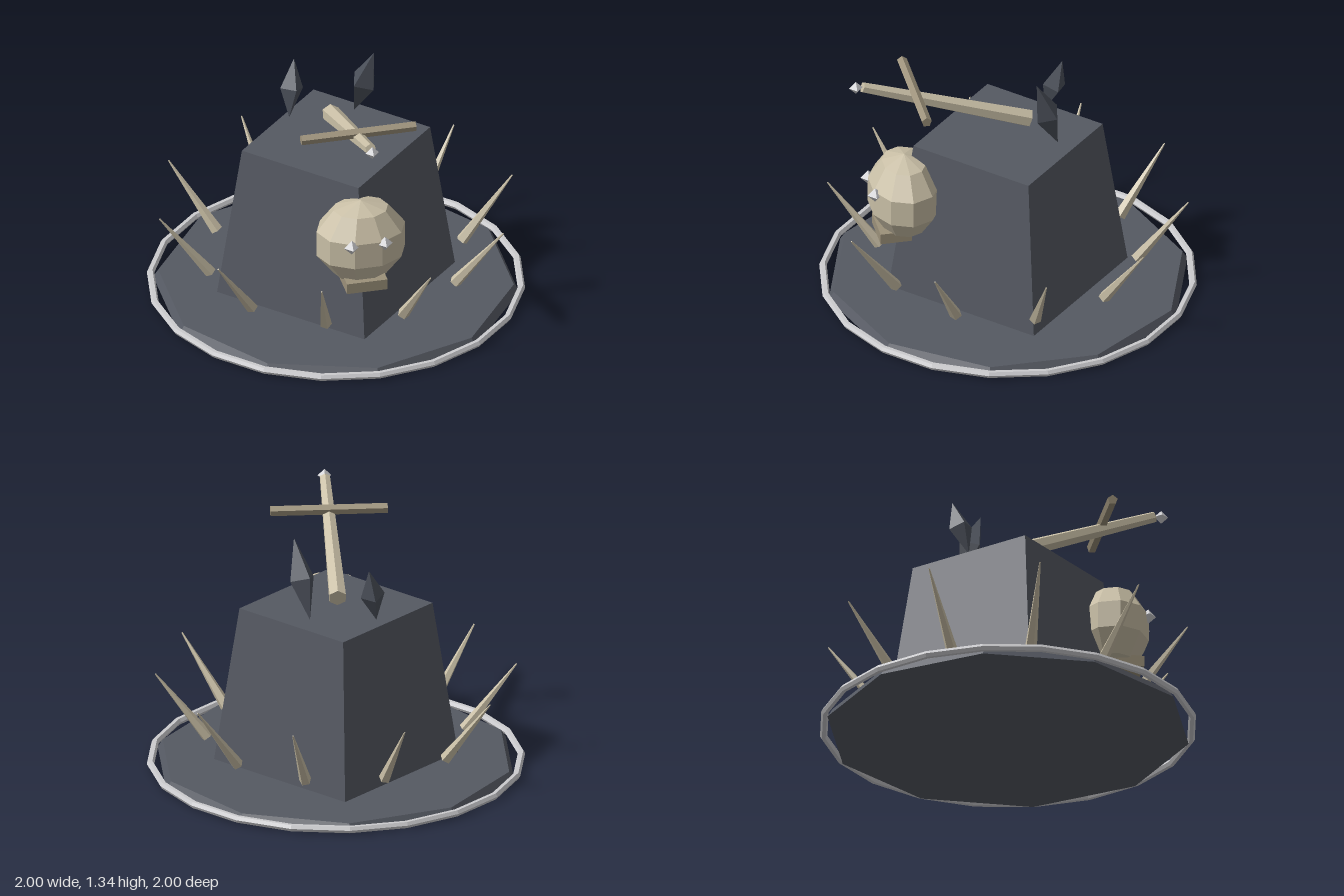
import * as THREE from 'three';

const mat = (name, color) => {
  const m = new THREE.MeshStandardMaterial({ color, flatShading: true });
  m.name = name;
  return m;
};

export function createModel() {
  const stone = mat('dark stone', 0x555962);
  const crystal = mat('dark crystal', 0x4c515b);
  const bone = mat('bone', 0xc9bfa6);
  const oldBone = mat('old bone', 0x9c917a);
  const silver = mat('silver', 0xcbcbce);

  const group = new THREE.Group();
  const up = new THREE.Vector3(0, 1, 0);
  const add = (name, geometry, material, x = 0, y = 0, z = 0, parent = group) => {
    const mesh = new THREE.Mesh(geometry, material);
    mesh.name = name;
    mesh.position.set(x, y, z);
    parent.add(mesh);
    return mesh;
  };
  // Lays a mesh whose own axis is y along the line from a to b
  const span = (mesh, a, b, turn = 0) => {
    const from = new THREE.Vector3(...a), to = new THREE.Vector3(...b);
    mesh.position.copy(from).lerp(to, 0.5);
    mesh.quaternion.setFromUnitVectors(up, to.sub(from).normalize());
    mesh.rotateY(turn);
    return mesh;
  };

  // Brim, its metal rim and the four-sided crown
  add('brim', new THREE.CylinderGeometry(0.94, 0.967, 0.045, 10), stone, 0, 0.0225, 0);
  const rim = add('rim', new THREE.TorusGeometry(0.98, 0.02, 6, 20), silver, 0, 0.027, 0);
  rim.rotation.x = Math.PI / 2;
  add('crown', new THREE.CylinderGeometry(0.51, 0.645, 0.86, 4), stone, 0, 0.47, 0);

  // Ring of spikes leaning outward
  const spikes = new THREE.Group();
  spikes.name = 'spikes';
  group.add(spikes);
  const spikeGeo = new THREE.CylinderGeometry(0.004, 0.033, 0.457, 5);
  for (let i = 0; i < 10; i++) {
    const a = (i * Math.PI) / 5, c = Math.cos(a), s = Math.sin(a);
    span(add('spike', spikeGeo, bone, 0, 0, 0, spikes),
      [0.68 * c, 0.175, 0.68 * s], [0.955 * c, 0.54, 0.955 * s]);
  }

  // Skull with jaw and gem eyes
  const skull = add('skull', new THREE.SphereGeometry(1, 10, 5), bone, 0, 0.62, 0.56);
  skull.scale.set(0.252, 0.237, 0.2);
  add('jaw', new THREE.BoxGeometry(0.22, 0.06, 0.17), oldBone, 0, 0.41, 0.625);
  for (const side of [-1, 1]) {
    add('eye', new THREE.OctahedronGeometry(0.042), silver, side * 0.09, 0.68, 0.735);
  }

  // Floating sword: tapered shaft, crossbar and tip gem
  span(add('shaft', new THREE.CylinderGeometry(0.03, 0.05, 0.953, 6), bone),
    [0, 0.99, -0.115], [0, 1.305, 0.785]);
  const bar = add('crossbar', new THREE.CylinderGeometry(0.028, 0.028, 0.62, 5), oldBone, 0, 1.24, 0.505);
  bar.rotation.z = Math.PI / 2;
  bar.rotateY(Math.PI / 2);
  add('tipGem', new THREE.OctahedronGeometry(0.037), silver, 0, 1.305, 0.82);

  // Two floating crystals
  const shard = (a, b, length, radius, turn) =>
    span(add('crystal', new THREE.OctahedronGeometry(1).scale(radius, length, radius), crystal), a, b, turn);
  shard([0.155, 0.92, -0.235], [0.23, 1.335, -0.105], 0.221, 0.076, 0.55);
  shard([-0.195, 0.915, -0.245], [-0.15, 1.225, -0.325], 0.162, 0.065, 0.15);

  return group;
}
